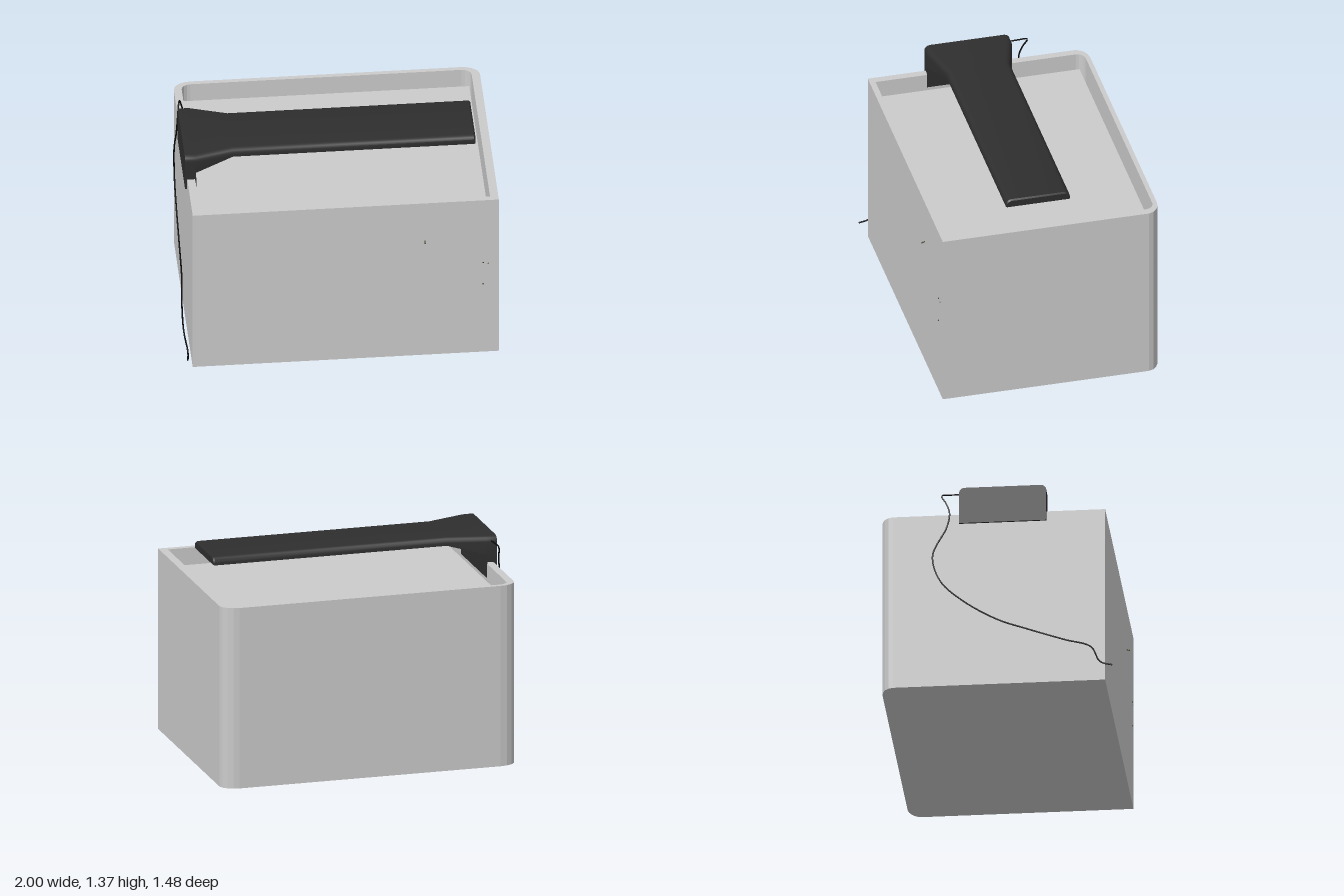
import * as THREE from 'three';
import { toCreasedNormals } from 'three/addons/utils/BufferGeometryUtils.js';

const mat = (color, extra = {}) => new THREE.MeshStandardMaterial({ color, ...extra });
const V = (x, y, z) => new THREE.Vector3(x, y, z);

function add(parent, name, geometry, material) {
  const mesh = new THREE.Mesh(geometry, material);
  mesh.name = name;
  parent.add(mesh);
  return mesh;
}

function addBox(parent, name, x0, x1, y0, y1, z0, z1, material) {
  const mesh = add(parent, name, new THREE.BoxGeometry(x1 - x0, y1 - y0, z1 - z0), material);
  mesh.position.set((x0 + x1) / 2, (y0 + y1) / 2, (z0 + z1) / 2);
  return mesh;
}

// Plan outline with square front corners and rounded back corners (shape y = -z)
function outline(x0, x1, zBack, zFront, rx, rz, Type = THREE.Shape) {
  const s = new Type();
  s.moveTo(x0, -zFront);
  s.lineTo(x1, -zFront);
  s.lineTo(x1, -zBack - rz);
  s.bezierCurveTo(x1, -zBack - rz * 0.45, x1 - rx * 0.55, -zBack, x1 - rx, -zBack);
  s.lineTo(x0 + rx, -zBack);
  s.bezierCurveTo(x0 + rx * 0.45, -zBack, x0, -zBack - rz * 0.45, x0, -zBack - rz);
  s.closePath();
  return s;
}

function slab(shape, y0, y1) {
  const g = new THREE.ExtrudeGeometry(shape, { depth: y1 - y0, bevelEnabled: false, curveSegments: 4 });
  return g.rotateX(-Math.PI / 2).translate(0, y0, 0);
}

// Lamp cross-section: flat bottom, rounded top edges
function lampSection([x, half, bottom, top, r]) {
  const zc = 0.035, pts = [V(x, bottom, zc - half), V(x, bottom, zc + half)];
  for (const side of [1, -1]) {
    for (let i = 0; i <= 4; i++) {
      const a = (side > 0 ? i : 4 - i) / 4 * Math.PI / 2;
      pts.push(V(x, top - r + r * Math.sin(a), zc + side * (half - r + r * Math.cos(a))));
    }
  }
  return pts;
}

// Skin a row of equal-sized sections and close both ends
function loft(sections) {
  const n = sections[0].length, index = [];
  const last = (sections.length - 1) * n;
  for (let j = 0; j < sections.length - 1; j++) {
    for (let i = 0; i < n; i++) {
      const a = j * n + i, b = j * n + (i + 1) % n;
      index.push(a, a + n, b, b, a + n, b + n);
    }
  }
  for (let i = 1; i < n - 1; i++) index.push(0, i, i + 1, last, last + i + 1, last + i);
  const g = new THREE.BufferGeometry().setFromPoints(sections.flat());
  g.setIndex(index);
  return toCreasedNormals(g, 0.5);
}

function tube(points, radius, segments) {
  return new THREE.TubeGeometry(new THREE.CatmullRomCurve3(points), segments, radius, 6);
}

export function createModel() {
  const model = new THREE.Group();
  const grey = mat(0xcccccc), dark = mat(0x2e2e2e), black = mat(0x080808);

  // Tank: walls, floor, gravel and the water inside
  const tank = new THREE.Group();
  tank.name = 'tank';
  model.add(tank);
  const wall = outline(-0.945, 1, -0.74, 0.685, 0.11, 0.08);
  wall.holes.push(outline(-0.895, 0.947, -0.71, 0.647, 0.06, 0.05, THREE.Path));
  add(tank, 'walls', slab(wall, 0.04, 1.19), grey);
  add(tank, 'floor', slab(outline(-0.945, 1, -0.74, 0.685, 0.11, 0.08), 0, 0.04), grey);
  add(tank, 'gravel', slab(outline(-0.9, 0.95, -0.71, 0.65, 0.06, 0.05), 0.04, 0.15), mat(0x241e14));
  addBox(tank, 'water', -0.887, 0.934, 0.15, 1.08, -0.682, 0.638, grey);

  // Water plants, whose leaf tips just reach the front pane
  const plants = new THREE.Group();
  plants.name = 'plants';
  model.add(plants);
  const leaf = mat(0x3c3a1c);
  const tips = [[0.53, 0.887, 0.708], [0.9, 0.7, 0.692], [0.932, 0.692, 0.69], [0.9, 0.533, 0.693]];
  for (const [x, y, z] of tips) {
    const points = [V(x - 0.05, 0.12, 0.45), V(x - 0.03, y * 0.7, 0.5), V(x, y + 0.012, 0.65), V(x, y, z)];
    add(plants, 'leaf', tube(points, 0.004, 20), leaf);
  }

  // Lamp: [x, half width, bottom, top, edge radius] along its length
  const lamp = new THREE.Group();
  lamp.name = 'lamp';
  model.add(lamp);
  const stations = [
    [-0.96, 0.277, 1.2, 1.37, 0.035],
    [-0.89, 0.277, 1.2, 1.369, 0.035],
    [-0.89, 0.277, 1.25, 1.369, 0.035],
    [-0.65, 0.208, 1.31, 1.363, 0.035],
    [0.882, 0.208, 1.31, 1.363, 0.035],
    [0.892, 0.204, 1.312, 1.355, 0.033],
  ];
  add(lamp, 'lampHead', loft(stations.map(lampSection)), dark);
  addBox(lamp, 'outerClip', -0.96, -0.948, 1.125, 1.21, -0.242, 0.312, dark);
  addBox(lamp, 'innerClip', -0.897, -0.889, 1.1, 1.21, -0.242, 0.312, dark);
  for (const z of [0.12, -0.045]) {
    addBox(lamp, 'lightStrip', -0.55, 0.78, 1.303, 1.312, z - 0.043, z + 0.043, grey);
  }

  // Power cable looping off the lamp and trailing down the side
  const path = [
    V(-0.925, 1.338, -0.23), V(-0.93, 1.337, -0.3), V(-0.938, 1.33, -0.355),
    V(-0.948, 1.27, -0.325), V(-0.955, 1.2, -0.303), V(-0.96, 1.1, -0.32),
    V(-0.966, 0.9, -0.41), V(-0.968, 0.72, -0.36), V(-0.968, 0.58, -0.22),
    V(-0.968, 0.44, 0), V(-0.972, 0.36, 0.2), V(-0.99, 0.27, 0.43),
    V(-0.993, 0.21, 0.6), V(-0.977, 0.125, 0.645), V(-0.974, 0.105, 0.67), V(-0.98, 0.085, 0.735),
  ];
  add(model, 'powerCable', tube(path, 0.005, 120), black);

  return model;
}
